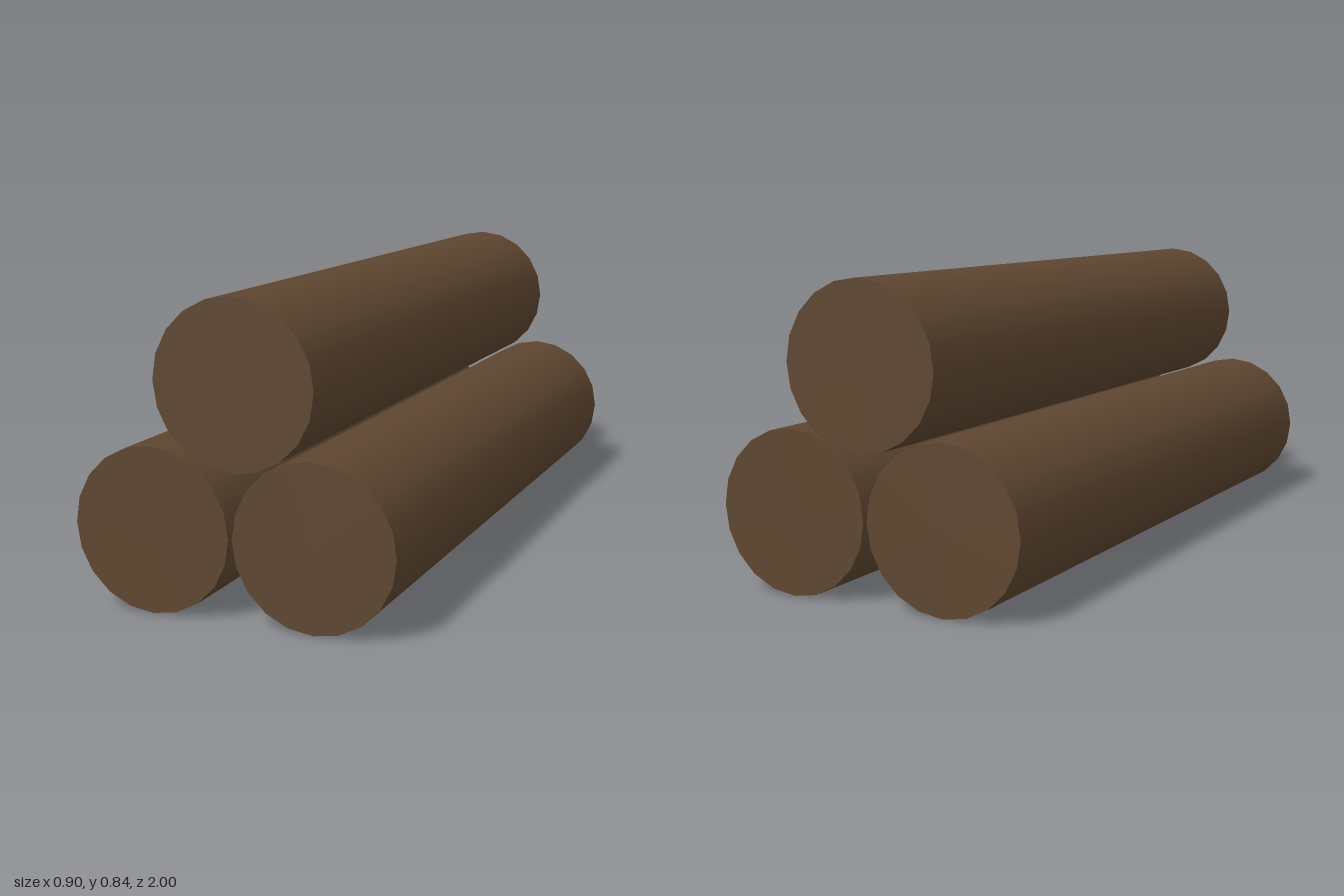
import * as THREE from 'three';

// Stack of three round logs lying along z
export function createModel() {
  const group = new THREE.Group();
  group.name = 'logPile';

  const bark = new THREE.MeshStandardMaterial({ color: 0x5e4630 });
  const radius = 0.2225;
  const logShape = new THREE.CylinderGeometry(radius, radius, 2, 20);
  logShape.rotateX(Math.PI / 2);

  // name, x, y of each log's axis
  const logs = [
    ['leftLog', 0.227, 0.2235],
    ['rightLog', -0.228, 0.2235],
    ['topLog', 0.012, 0.618],
  ];
  for (const [name, x, y] of logs) {
    const log = new THREE.Mesh(logShape, bark);
    log.name = name;
    log.position.set(x, y, 0);
    group.add(log);
  }
  return group;
}
